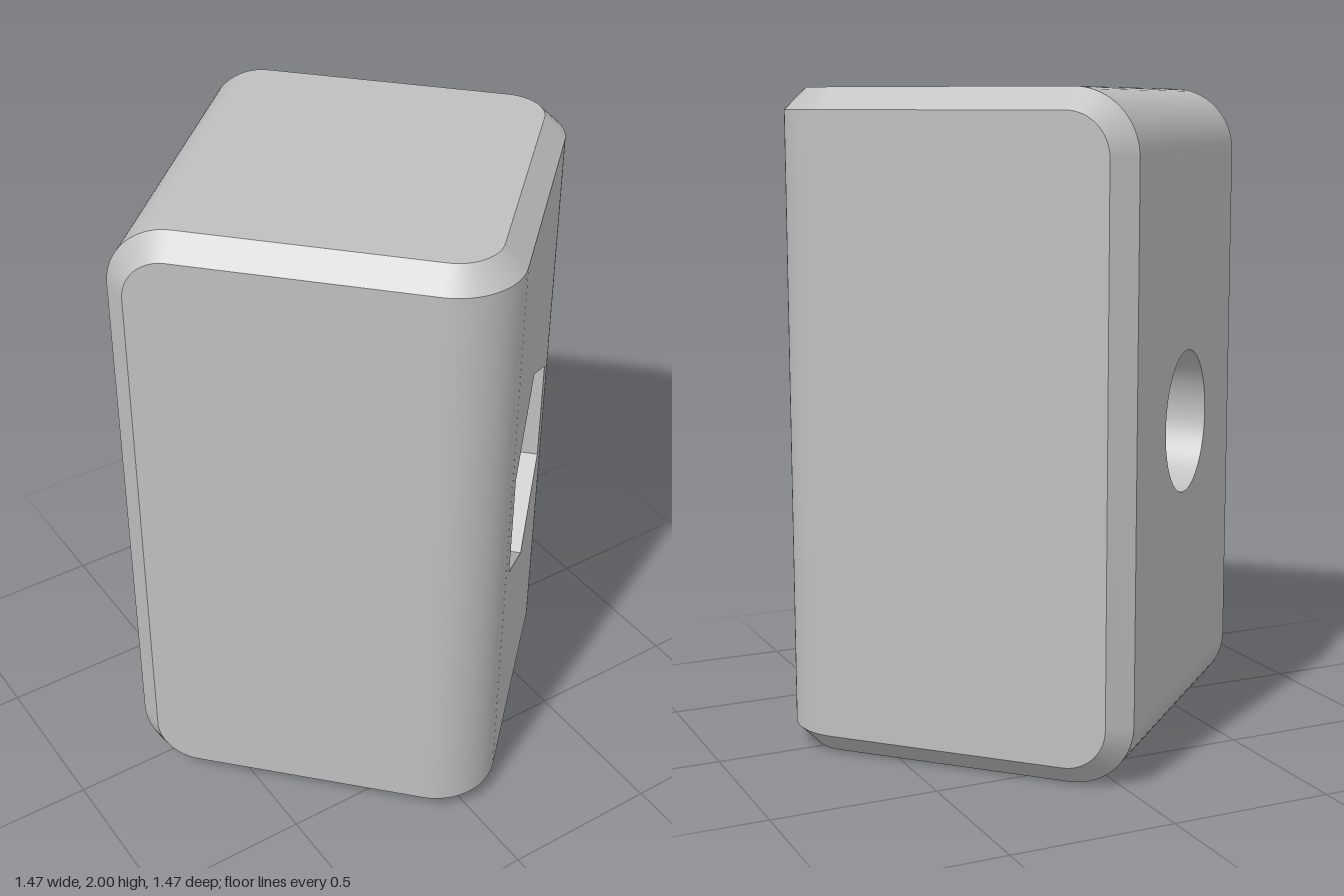
import * as THREE from 'three';

const h = 0.565;   // half width and half depth
const H = 1;       // half height
const c = 0.065;   // chamfer
const r = 0.195;   // fillet radius
const hexR = 0.348, holeR = 0.217, pocketDepth = 0.69;
const SEG = 16;

// Surface between two rows of points
function strip(rowA, rowB, flat = false) {
  const n = rowA.length, index = [];
  for (let i = 0; i < n - 1; i++) index.push(i, i + 1, n + i + 1, i, n + i + 1, n + i);
  let geo = new THREE.BufferGeometry().setFromPoints([...rowA, ...rowB]);
  geo.setIndex(index);
  if (flat) geo = geo.toNonIndexed();
  geo.computeVertexNormals();
  return geo;
}

// Closed ring of points around the bore axis, starting at the top
function ring(radius, sides, z) {
  return Array.from({ length: sides + 1 }, (_, i) => {
    const a = Math.PI / 2 + (i / sides) * Math.PI * 2;
    return new THREE.Vector3(Math.cos(a) * radius, Math.sin(a) * radius, z);
  });
}

const flatRing = (radius, sides) =>
  ring(radius, sides, 0).slice(0, -1).map((p) => new THREE.Vector2(p.x, p.y));

function rect(a, b) {
  return new THREE.Shape([[-a, -b], [a, -b], [a, b], [-a, b]].map((p) => new THREE.Vector2(...p)));
}

// Rectangle with its two corners on the +x end rounded
function roundedEnd(half) {
  const q = r - c, x1 = h - c, s = new THREE.Shape();
  s.moveTo(-(h - r), -half);
  s.lineTo(x1 - q, -half);
  s.absarc(x1 - q, -half + q, q, -Math.PI / 2, 0);
  s.lineTo(x1, half - q);
  s.absarc(x1 - q, half - q, q, 0, Math.PI / 2);
  s.lineTo(-(h - r), half);
  return s;
}

// Quarter of the chamfer that runs round the top, down the back corner
function chamferQuarter(sx, sy) {
  const wall = [], cap = [], q = r - c, k = h - r;
  const add = (list, x, y, z) => list.push(new THREE.Vector3(x * sx, y * sy, z));
  add(wall, 0, H - c, h);
  add(cap, 0, H, h - c);
  for (let i = 0; i <= SEG; i++) {
    const a = (i / SEG) * Math.PI / 2, s = Math.sin(a), t = Math.cos(a);
    add(wall, k + r * s, H - c, k + r * t);
    add(cap, k + q * s, H, k + q * t);
  }
  for (let i = 0; i <= SEG; i++) {
    const a = (i / SEG) * Math.PI / 2, s = Math.sin(a), t = Math.cos(a);
    add(wall, h, H - r + q * t, -k - q * s);
    add(cap, h - c, H - r + r * t, -k - r * s);
  }
  add(wall, h, 0, -(h - c));
  add(cap, h - c, 0, -h);
  return sx * sy > 0 ? strip(wall, cap) : strip(cap, wall);
}

export function createModel() {
  const grey = new THREE.MeshStandardMaterial({ color: 0xbfbfbf });
  grey.name = 'grey';
  const model = new THREE.Group();
  const block = new THREE.Group();
  block.name = 'block';
  block.position.set(0.016, H, 0.016);
  block.rotation.y = THREE.MathUtils.degToRad(43.8);
  model.add(block);

  const add = (name, geo) => {
    const mesh = new THREE.Mesh(geo, grey);
    mesh.name = name;
    block.add(mesh);
  };

  // Front face with hexagonal opening
  const front = rect(h - r, H - c);
  front.holes.push(new THREE.Path(flatRing(hexR, 6)));
  add('frontFace', new THREE.ShapeGeometry(front).translate(0, 0, h));

  // Back face with round opening
  const back = rect(h - c, H - r);
  back.holes.push(new THREE.Path(flatRing(holeR, 48)));
  add('backFace', new THREE.ShapeGeometry(back).rotateY(Math.PI).translate(0, 0, -h));

  // Side faces, rounded towards the back
  const side = new THREE.ShapeGeometry(roundedEnd(H - c), SEG).rotateY(Math.PI / 2).translate(h, 0, 0);
  add('leftFace', side);
  add('rightFace', side.clone().rotateZ(Math.PI));

  // Top and bottom faces, rounded towards the front
  const toTop = new THREE.Matrix4().makeBasis(
    new THREE.Vector3(0, 0, 1), new THREE.Vector3(1, 0, 0), new THREE.Vector3(0, 1, 0));
  const top = new THREE.ShapeGeometry(roundedEnd(h - c), SEG).applyMatrix4(toTop).translate(0, H, 0);
  add('topFace', top);
  add('bottomFace', top.clone().rotateZ(Math.PI));

  // Fillets: upright at the front, level at the back
  const fillet = (length, start) =>
    new THREE.CylinderGeometry(r, r, length, SEG, 1, true, start, Math.PI / 2);
  for (const s of [1, -1]) {
    add('frontFillet', fillet(2 * (H - c), s > 0 ? 0 : -Math.PI / 2).translate(s * (h - r), 0, h - r));
    add('backFillet', fillet(2 * (h - c), s > 0 ? Math.PI / 2 : Math.PI)
      .rotateZ(Math.PI / 2).translate(0, s * (H - r), -(h - r)));
    for (const t of [1, -1]) add('chamfer', chamferQuarter(s, t));
  }

  // Hexagonal pocket, its floor, and the round bore behind it
  const floorZ = h - pocketDepth;
  add('pocketWalls', strip(ring(hexR, 6, h), ring(hexR, 6, floorZ), true));
  const floor = new THREE.Shape(flatRing(hexR, 6));
  floor.holes.push(new THREE.Path(flatRing(holeR, 48)));
  add('pocketFloor', new THREE.ShapeGeometry(floor).translate(0, 0, floorZ));
  add('bore', strip(ring(holeR, 48, floorZ), ring(holeR, 48, -h)));

  return model;
}
